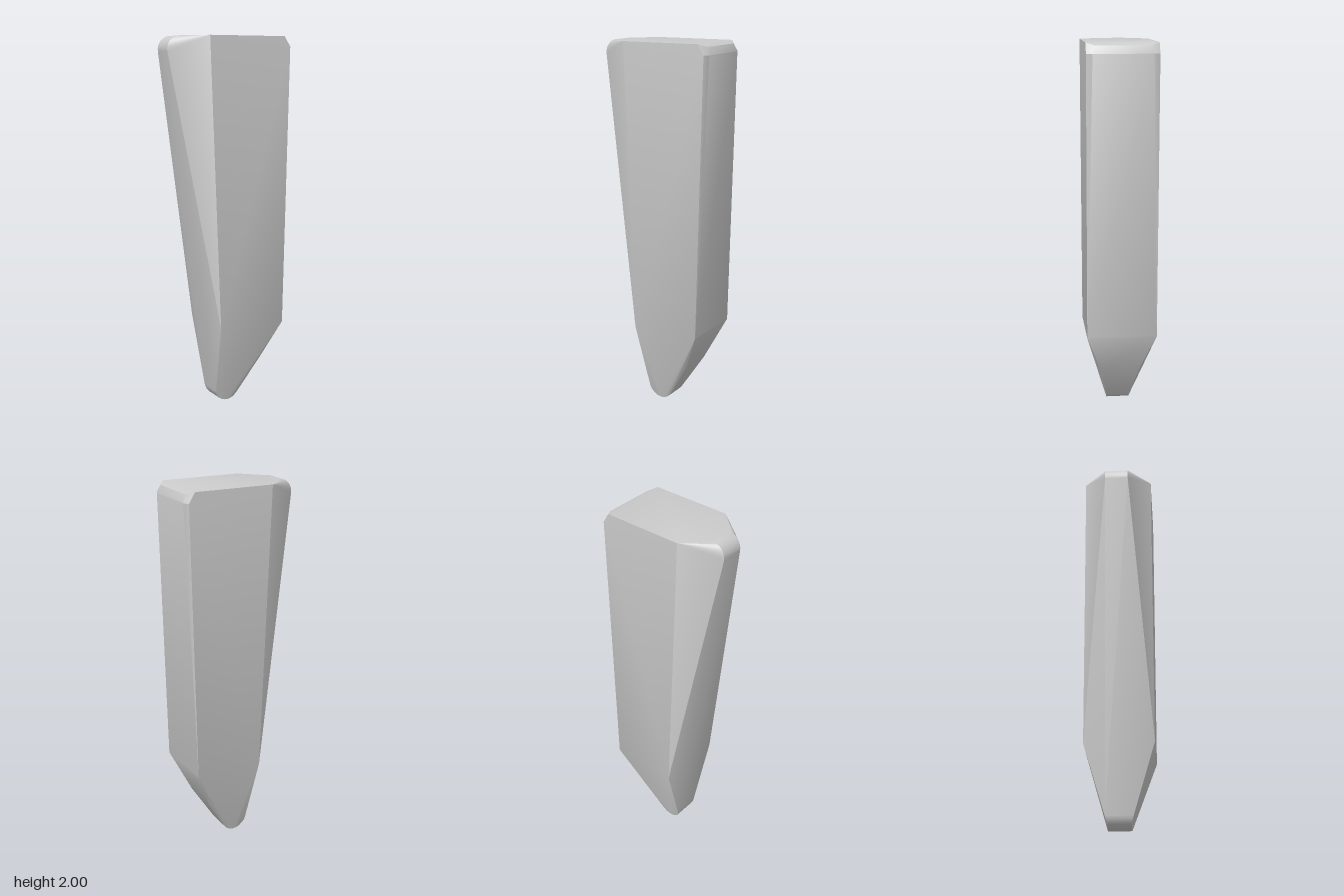
import * as THREE from 'three';
import { ConvexGeometry } from 'three/addons/geometries/ConvexGeometry.js';
import { toCreasedNormals } from 'three/addons/utils/BufferGeometryUtils.js';

export function createModel() {
  const group = new THREE.Group();
  group.name = 'taperedWedge';
  const points = [];

  // Adds a corner on both sides of the symmetry plane
  const pair = (x, y, z) => {
    points.push(new THREE.Vector3(x, y, z), new THREE.Vector3(x, y, -z));
  };
  // Adds a rounded edge as an arc of mirrored corners
  const arc = (cx, cy, r, from, to, steps, depth) => {
    for (let i = 0; i <= steps; i++) {
      const a = THREE.MathUtils.degToRad(from + ((to - from) * i) / steps);
      const y = cy + r * Math.sin(a);
      pair(cx + r * Math.cos(a), y, depth(y));
    }
  };

  // Broad side faces
  pair(-0.153, 2, 0.187);
  pair(0.288, 2, 0.187);
  pair(-0.09, 0.445, 0.187);
  pair(0.286, 0.445, 0.187);

  // Chamfered top corner and slim edge bevels
  pair(0.32, 1.985, 0.14);
  pair(0.338, 1.945, 0.155);
  pair(0.322, 1.945, 0.187);

  // Rounded top corner over the narrow edge
  arc(-0.268, 1.928, 0.072, 90, 188, 8, () => 0.063);

  // Kink in the sloping underside and rounded tip
  pair(0.185, 0.225, 0.105);
  arc(0.004, 0.07, 0.07, 188, 328, 12, (y) => 0.062 + 0.28 * Math.max(0, y - 0.02));

  const body = new THREE.Mesh(
    toCreasedNormals(new ConvexGeometry(points), 0.5),
    new THREE.MeshStandardMaterial({ color: 0xcccccc })
  );
  body.name = 'wedgeBody';
  group.add(body);
  return group;
}
